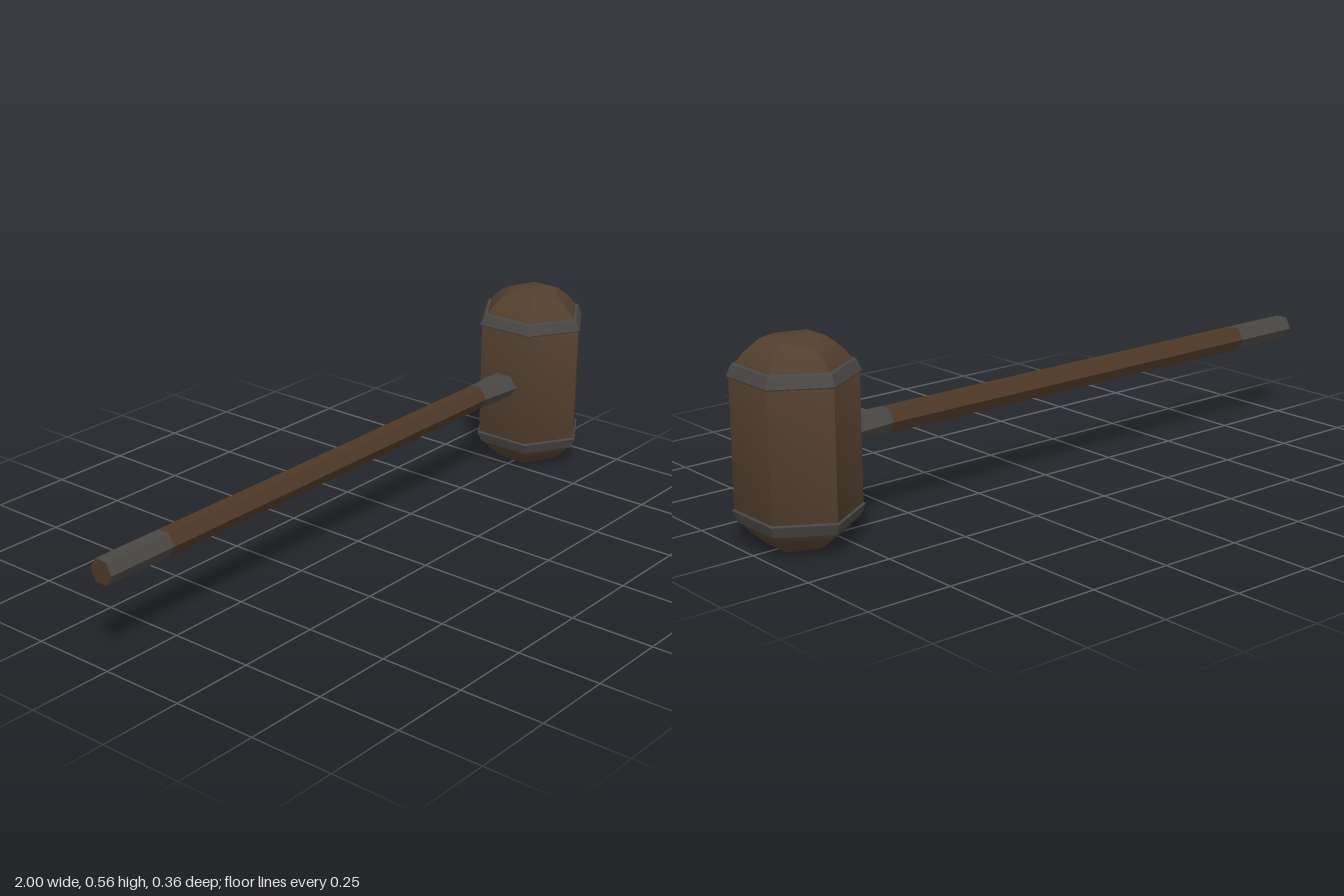
import * as THREE from 'three';
import { toCreasedNormals } from 'three/addons/utils/BufferGeometryUtils.js';

const HEAD_X = 0.853, MID_Y = 0.279;

// Facets a geometry with flat normals
function facet(geometry) {
  const flat = geometry.toNonIndexed();
  flat.computeVertexNormals();
  return flat;
}

// Six-sided lathe, corners on +z and -z, slightly narrower in x
function hexLathe(points) {
  return new THREE.LatheGeometry(points.map(([r, y]) => new THREE.Vector2(r, y)), 6).scale(0.94, 1, 1);
}

// Six-sided bar along x
function hexBar(x0, x1, r0, r1) {
  const bar = new THREE.CylinderGeometry(r1, r0, x1 - x0, 6);
  return bar.rotateZ(-Math.PI / 2).translate((x0 + x1) / 2, 0, 0);
}

export function createModel() {
  const model = new THREE.Group();
  model.name = 'mallet';
  const wood = new THREE.MeshStandardMaterial({ color: 0x513e2d });
  const handleWood = new THREE.MeshStandardMaterial({ color: 0x4e3826 });
  const metal = new THREE.MeshStandardMaterial({ color: 0x494744 });

  function add(parent, name, geometry, material) {
    const mesh = new THREE.Mesh(geometry, material);
    mesh.name = name;
    parent.add(mesh);
    return mesh;
  }

  // Head: hexagonal block with a rounded dome at each end (heights from the middle)
  const head = new THREE.Group();
  head.name = 'head';
  head.position.set(HEAD_X, MID_Y, 0);
  model.add(head);
  const upper = [[0.175, 0.181], [0.157, 0.214], [0.136, 0.239], [0.112, 0.259], [0.09, 0.276], [0, 0.279]];
  const lower = upper.map(([r, y]) => [r, -y]).reverse();
  const block = hexLathe([...lower, ...upper]);
  // Dome corners on the z axis sit a little lower
  const p = block.attributes.position;
  for (let i = 0; i < p.count; i++) {
    const y = p.getY(i);
    if (Math.abs(y) > 0.27 && Math.abs(p.getX(i)) < 0.01 && Math.abs(p.getZ(i)) > 0.05) {
      p.setY(i, y - Math.sign(y) * 0.006);
    }
  }
  add(head, 'headBlock', toCreasedNormals(block, 0.45), wood);

  // Bevelled metal bands, mirrored top and bottom
  const band = [[0.17, 0.175], [0.179, 0.178], [0.181, 0.181], [0.167, 0.212], [0.164, 0.214], [0.15, 0.215]];
  add(head, 'topBand', facet(hexLathe(band)), metal);
  add(head, 'bottomBand', facet(hexLathe(band.map(([r, y]) => [r, -y]).reverse())), metal);

  // Handle: metal grip, wooden shaft and a collar that flares sideways
  const handle = new THREE.Group();
  handle.name = 'handle';
  handle.position.set(0, 0.281, -0.002);
  model.add(handle);
  add(handle, 'grip', facet(hexBar(-1, -0.78, 0.038, 0.038)), [metal, metal, handleWood]);
  add(handle, 'shaft', facet(hexBar(-0.78, 0.57, 0.038, 0.038)), handleWood);
  const collar = hexBar(0.57, 0.73, 0.038, 0.056);
  const c = collar.attributes.position;
  for (let i = 0; i < c.count; i++) {
    if (c.getX(i) > 0.65) c.setY(i, c.getY(i) * 0.038 / 0.056);
  }
  add(handle, 'collar', facet(collar), metal);

  return model;
}
